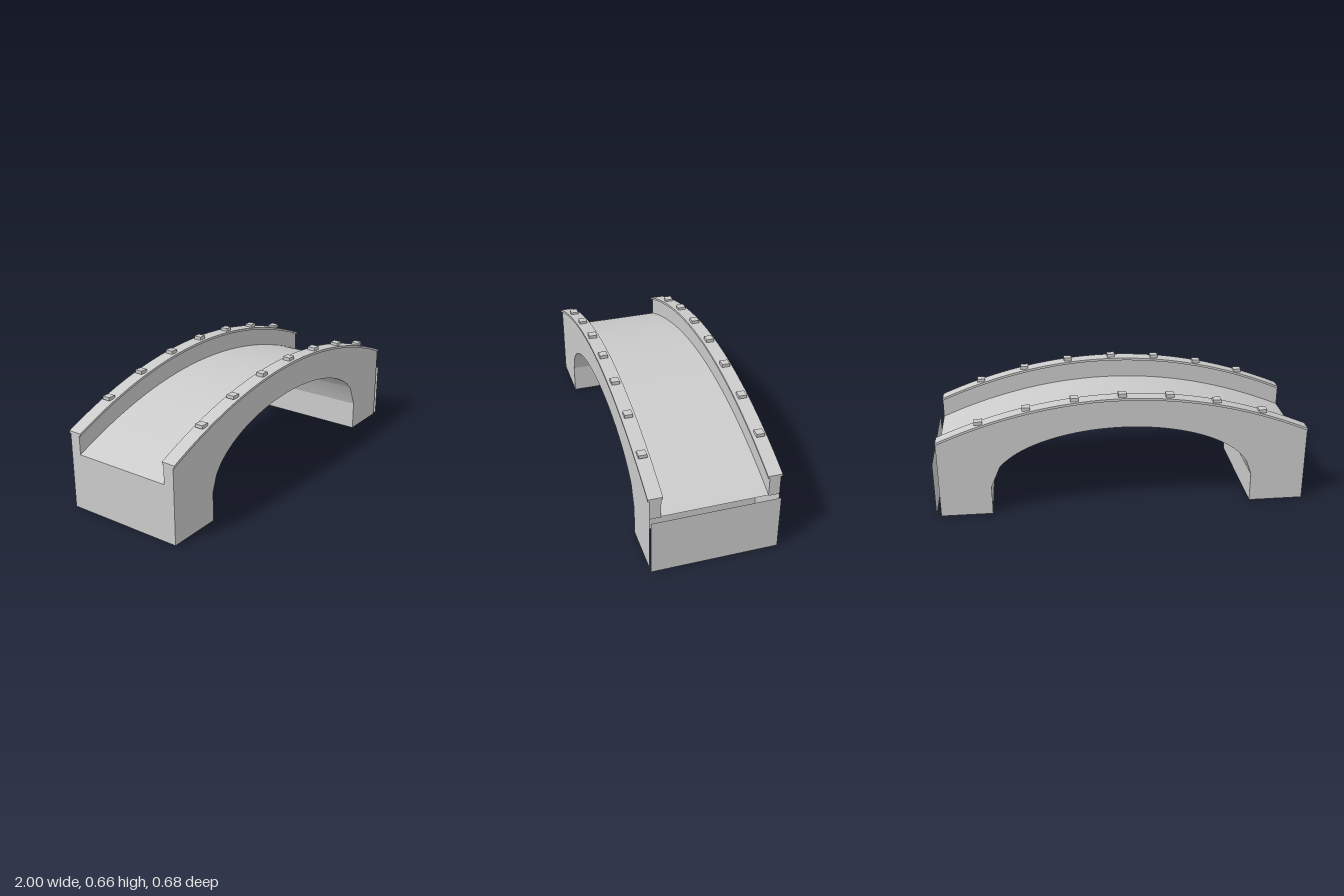
import * as THREE from 'three';

const X0 = -1, X1 = 0.975, STEP = 0.025;
const HALF_W = 0.33, INNER_W = 0.272;
const CAP_T = 0.013;

const railTop = (x) => 0.641 - 0.218 * x * x;
const railUnder = (x) => railTop(x) - CAP_T;
const deckY = (x) => 0.528 - 0.22 * x * x;
const archY = (x) => 0.16 + 0.316 * Math.sqrt(Math.max(0, 1 - (x / 0.7) ** 2));

// points along a curve y = f(x)
function curve(f, a, b, step = STEP) {
  const n = Math.round((b - a) / step);
  return Array.from({ length: n + 1 }, (_, i) => {
    const x = a + ((b - a) * i) / n;
    return new THREE.Vector2(x, f(x));
  });
}

// open surface: a polyline in x,y swept across z
function strip(points, halfWidth) {
  const pos = [], index = [];
  points.forEach((p, i) => {
    pos.push(p.x, p.y, halfWidth, p.x, p.y, -halfWidth);
    const k = i * 2;
    if (i < points.length - 1) index.push(k, k + 2, k + 1, k + 1, k + 2, k + 3);
  });
  const g = new THREE.BufferGeometry();
  g.setAttribute('position', new THREE.Float32BufferAttribute(pos, 3));
  g.setIndex(index);
  g.computeVertexNormals();
  return g;
}

export function createModel() {
  const root = new THREE.Group();
  root.name = 'archBridge';
  const mat = new THREE.MeshStandardMaterial({ color: 0xcccccc, side: THREE.DoubleSide });
  const add = (name, geometry, parent = root) => {
    const m = new THREE.Mesh(geometry, mat);
    m.name = name;
    parent.add(m);
    return m;
  };
  const v = (x, y) => new THREE.Vector2(x, y);

  // curved roadway
  add('deck', strip(curve(deckY, X0, X1), HALF_W));

  // underside of the arch with its two upright springing faces
  const soffit = [v(-0.705, 0.16), ...curve(archY, -0.675, 0.65), v(0.7, 0.16)];
  add('archSoffit', strip(soffit, HALF_W));
  add('pierFace', strip([v(-0.705, 0), v(-0.705, 0.16)], HALF_W));
  add('pierFace', strip([v(0.7, 0.16), v(0.7, 0)], HALF_W));

  // end panels, one at each tip
  for (const x of [-1, 1]) {
    add('endPanel', strip(x < 0 ? [v(x, 0), v(x, deckY(x))] : [v(x, deckY(x)), v(x, 0)], HALF_W));
  }

  // outlines shared by both sides
  const wallShape = new THREE.Shape([
    v(X0, 0), v(-0.705, 0), ...soffit, v(0.7, 0), v(X1, 0),
    ...curve(railUnder, X0, X1).reverse(),
  ]);
  const parapetShape = new THREE.Shape([
    ...curve(deckY, X0, X1), ...curve(railUnder, X0, X1).reverse(),
  ]);
  const capShape = new THREE.Shape([
    ...curve(railUnder, X0, X1), ...curve(railTop, X0, X1).reverse(),
  ]);

  for (const s of [1, -1]) {
    const side = new THREE.Group();
    side.name = s > 0 ? 'frontSide' : 'backSide';
    root.add(side);

    // outer wall and inner parapet face, each turned to face outward
    const faces = [['sideWall', wallShape, HALF_W, s], ['parapetInnerFace', parapetShape, INNER_W, -s]];
    for (const [name, shape, z, dir] of faces) {
      const g = new THREE.ShapeGeometry(shape);
      if (dir < 0) {
        const idx = g.index.array;
        for (let i = 0; i < idx.length; i += 3) [idx[i], idx[i + 1]] = [idx[i + 1], idx[i]];
        g.computeVertexNormals();
      }
      add(name, g, side).position.z = s * z;
    }

    // parapet ends
    for (const x of [X0, X1]) {
      const low = deckY(x) - 0.004, high = railUnder(x);
      const end = add('parapetEnd', new THREE.PlaneGeometry(HALF_W - INNER_W, high - low), side);
      end.rotation.y = (Math.sign(x) * Math.PI) / 2;
      end.position.set(x, (low + high) / 2, (s * (HALF_W + INNER_W)) / 2);
    }

    // overhanging coping
    const cap = add('coping', new THREE.ExtrudeGeometry(capShape, { depth: 0.075, bevelEnabled: false }), side);
    cap.position.z = s * 0.3005 - 0.0375;

    // small blocks spaced along the coping
    for (let i = -3; i <= 3; i++) {
      const x = i * 0.25;
      add('copingBlock', new THREE.BoxGeometry(0.043, 0.018, 0.043), side)
        .position.set(x, railTop(x) + 0.01, s * 0.301);
    }
  }
  return root;
}
